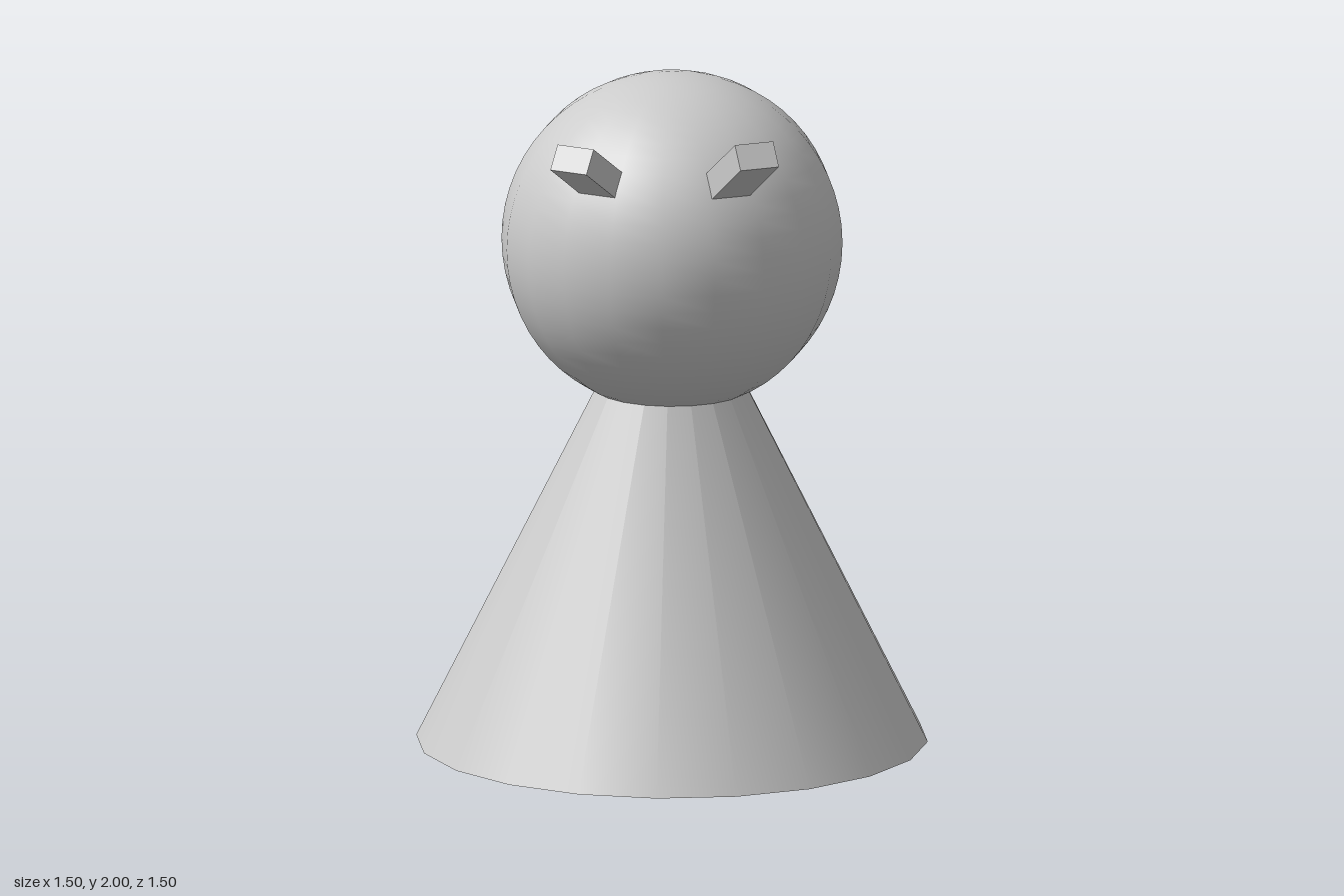
import * as THREE from 'three';

const SIDES = 20;
const HEAD_Y = 1.5;

export function createModel() {
  const model = new THREE.Group();
  model.name = 'figure';
  const material = new THREE.MeshStandardMaterial({ color: 0xcccccc });

  function add(parent, name, geometry, y = 0) {
    const mesh = new THREE.Mesh(geometry, material);
    mesh.name = name;
    mesh.position.y = y;
    parent.add(mesh);
    return mesh;
  }

  // Conical body, its tip at the centre of the head
  add(model, 'body', new THREE.ConeGeometry(0.75, HEAD_Y, SIDES), HEAD_Y / 2);

  // Round head
  add(model, 'head', new THREE.SphereGeometry(0.5, SIDES, 30), HEAD_Y);

  // Square pegs pointing straight out from the head; the left one is longer
  function addPeg(name, side, reach) {
    const inner = 0.42;
    const pivot = new THREE.Group();
    pivot.name = name;
    pivot.position.y = HEAD_Y;
    pivot.rotation.set(THREE.MathUtils.degToRad(-32), side * THREE.MathUtils.degToRad(26.6), 0, 'YXZ');
    const peg = add(pivot, name + 'Block', new THREE.BoxGeometry(0.122, 0.08, reach - inner));
    peg.position.z = (inner + reach) / 2;
    model.add(pivot);
  }
  addPeg('leftEye', 1, 0.745);
  addPeg('rightEye', -1, 0.69);

  return model;
}
